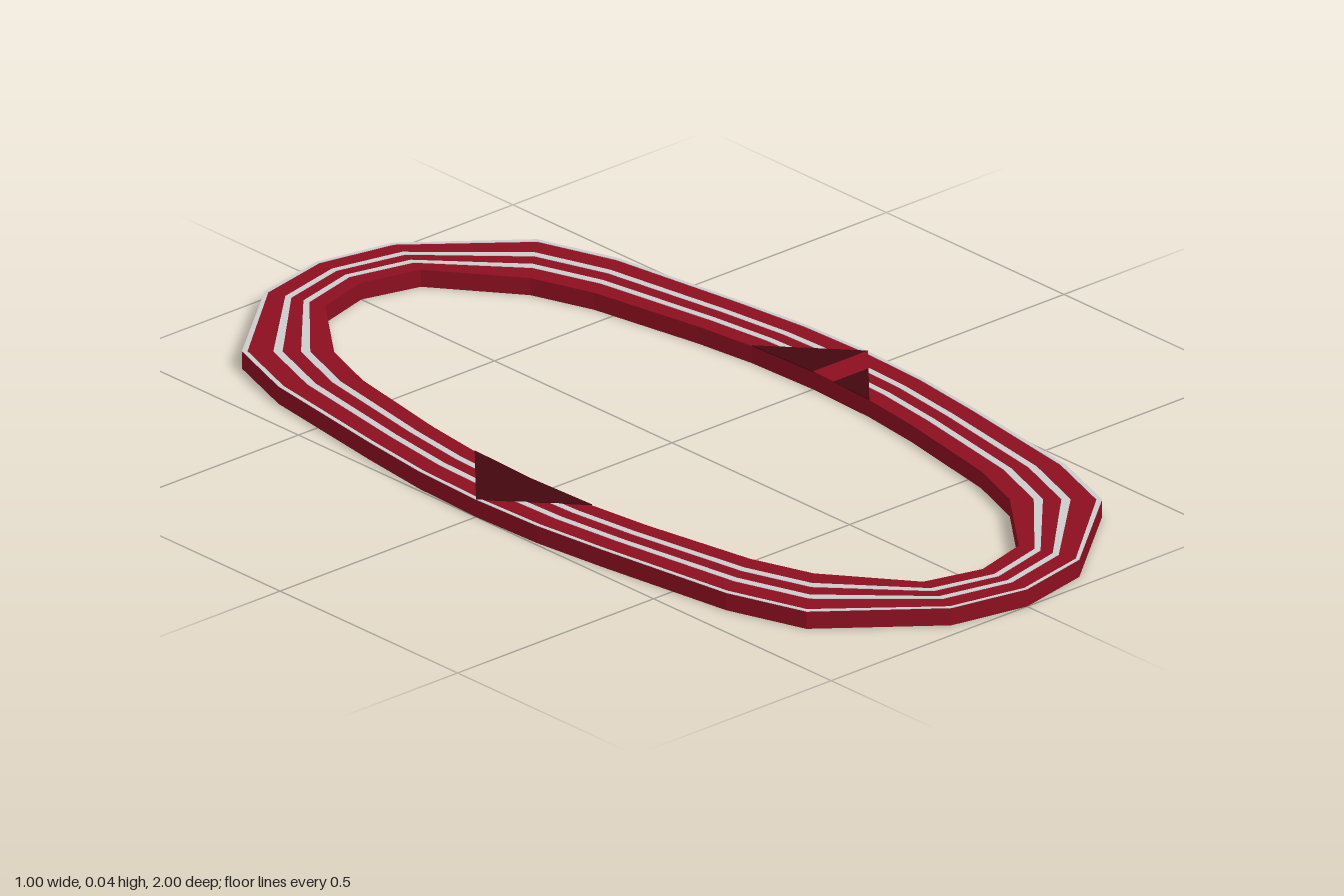
import * as THREE from 'three';

// One quadrant of the oval: [outer x, outer z, inner x, inner z]
const QUARTER = [
  [0.5, 0, 0.36, 0], [0.494, 0.165, 0.354, 0.165], [0.475, 0.33, 0.338, 0.3],
  [0.433, 0.63, 0.295, 0.545], [0.377, 0.795, 0.25, 0.675],
  [0.163, 0.967, 0.122, 0.842], [0, 1, 0, 0.875],
];
const HEIGHT = 0.0355;

// Mirror the quadrant into a full loop
const LOOP = [];
const mirrorX = ([a, b, c, d]) => [-a, b, -c, d];
const mirrorZ = ([a, b, c, d]) => [a, -b, c, -d];
const half = [...QUARTER, ...QUARTER.slice(0, -1).reverse().map(mirrorX)];
LOOP.push(...half, ...half.slice(1, -1).reverse().map(mirrorZ));

// Outline at fraction f between the inner (0) and outer (1) edge
const outline = (f) => LOOP.map(([ox, oz, ix, iz]) =>
  new THREE.Vector2(ix + (ox - ix) * f, iz + (oz - iz) * f));

function slab(name, shape, y, depth, material) {
  const geometry = new THREE.ExtrudeGeometry(shape, { depth, bevelEnabled: false });
  geometry.rotateX(-Math.PI / 2); // shape y becomes -z
  const mesh = new THREE.Mesh(geometry, material);
  mesh.position.y = y;
  mesh.name = name;
  return mesh;
}

function band(name, f0, f1, y, depth, material) {
  const shape = new THREE.Shape(outline(f1));
  shape.holes.push(new THREE.Path(outline(f0)));
  return slab(name, shape, y, depth, material);
}

// Flat plate from [x, z] corners
const plate = (name, corners, material) => slab(name,
  new THREE.Shape(corners.map(([x, z]) => new THREE.Vector2(x, -z))), HEIGHT, 0.002, material);

export function createModel() {
  const group = new THREE.Group();
  group.name = 'ovalTrack';
  const red = new THREE.MeshStandardMaterial({ color: 0x8c0f20, flatShading: true });
  const dark = new THREE.MeshStandardMaterial({ color: 0x45070f, flatShading: true });
  const grey = new THREE.MeshStandardMaterial({ color: 0xcccccc, flatShading: true });

  // Track body
  group.add(band('trackBody', 0, 1, 0, HEIGHT, red));

  // Lane lines and outer rim
  group.add(band('innerLaneLine', 0.26, 0.36, HEIGHT, 0.001, grey));
  group.add(band('outerLaneLine', 0.56, 0.66, HEIGHT, 0.001, grey));
  group.add(band('outerRim', 0.94, 1, HEIGHT, 0.001, grey));

  // Wedge marks at the middle of both long sides
  group.add(plate('rightWedge', [[-0.5, 0], [-0.354, 0.165], [-0.36, 0], [-0.354, -0.165]], dark));
  group.add(plate('leftWedgeBack', [[0.5, 0], [0.354, -0.165], [0.36, 0]], dark));
  group.add(plate('leftWedgeMiddle', [[0.5, 0], [0.36, 0], [0.358, 0.06], [0.447, 0.06]], red));
  group.add(plate('leftWedgeFront', [[0.447, 0.06], [0.358, 0.06], [0.354, 0.165]], dark));
  return group;
}
